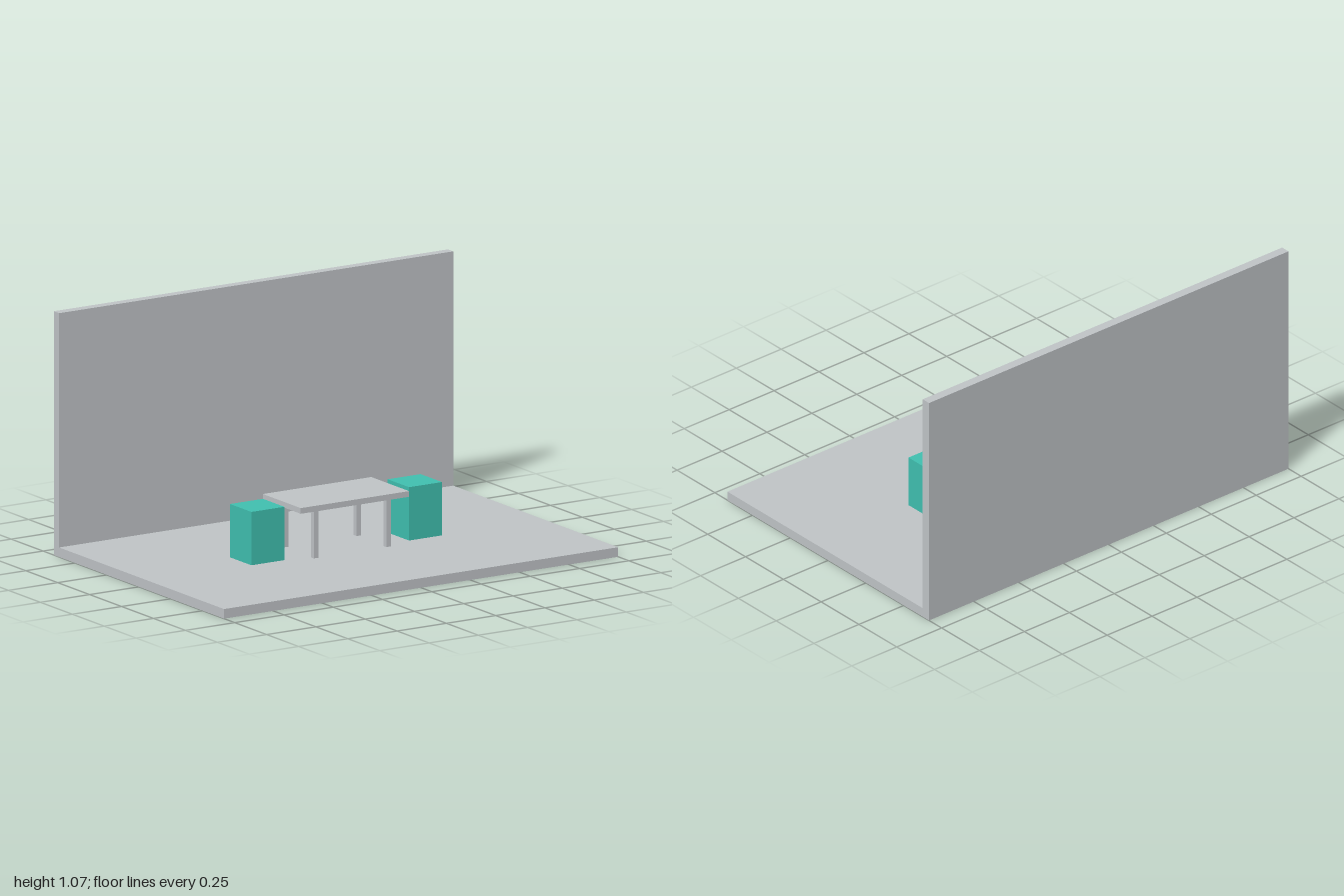
import * as THREE from 'three';

export function createModel() {
  const model = new THREE.Group();
  model.name = 'roomCorner';

  const grey = new THREE.MeshStandardMaterial({ color: 0xc0c4c7 });
  grey.name = 'light grey';
  const teal = new THREE.MeshStandardMaterial({ color: 0x40c0b0 });
  teal.name = 'teal';

  // Box given by its size and the centre of its underside
  function box(parent, name, material, [w, h, d], [x, y, z]) {
    const mesh = new THREE.Mesh(new THREE.BoxGeometry(w, h, d), material);
    mesh.name = name;
    mesh.position.set(x, y + h / 2, z);
    parent.add(mesh);
  }

  const thick = 0.042;
  const depth = 1.333;

  // Floor slab, with the back wall standing flush behind it
  box(model, 'floor', grey, [2, thick, depth - thick], [0, 0, thick / 2]);
  box(model, 'backWall', grey, [2, 1.07, thick], [0, 0, -(depth - thick) / 2]);

  // Table with four square legs
  const table = new THREE.Group();
  table.name = 'table';
  model.add(table);
  const topBase = 0.253;
  box(table, 'tableTop', grey, [0.55, 0.025, 0.296], [0, topBase, 0]);
  for (const sx of [-1, 1]) {
    for (const sz of [-1, 1]) {
      box(table, 'tableLeg', grey, [0.023, topBase - thick, 0.023], [sx * 0.184, thick, sz * 0.116]);
    }
  }

  // Block seat at each end of the table
  for (const [name, side] of [['leftSeat', 1], ['rightSeat', -1]]) {
    box(model, name, teal, [0.167, 0.234, 0.167], [side * 0.4, thick, 0]);
  }

  return model;
}
